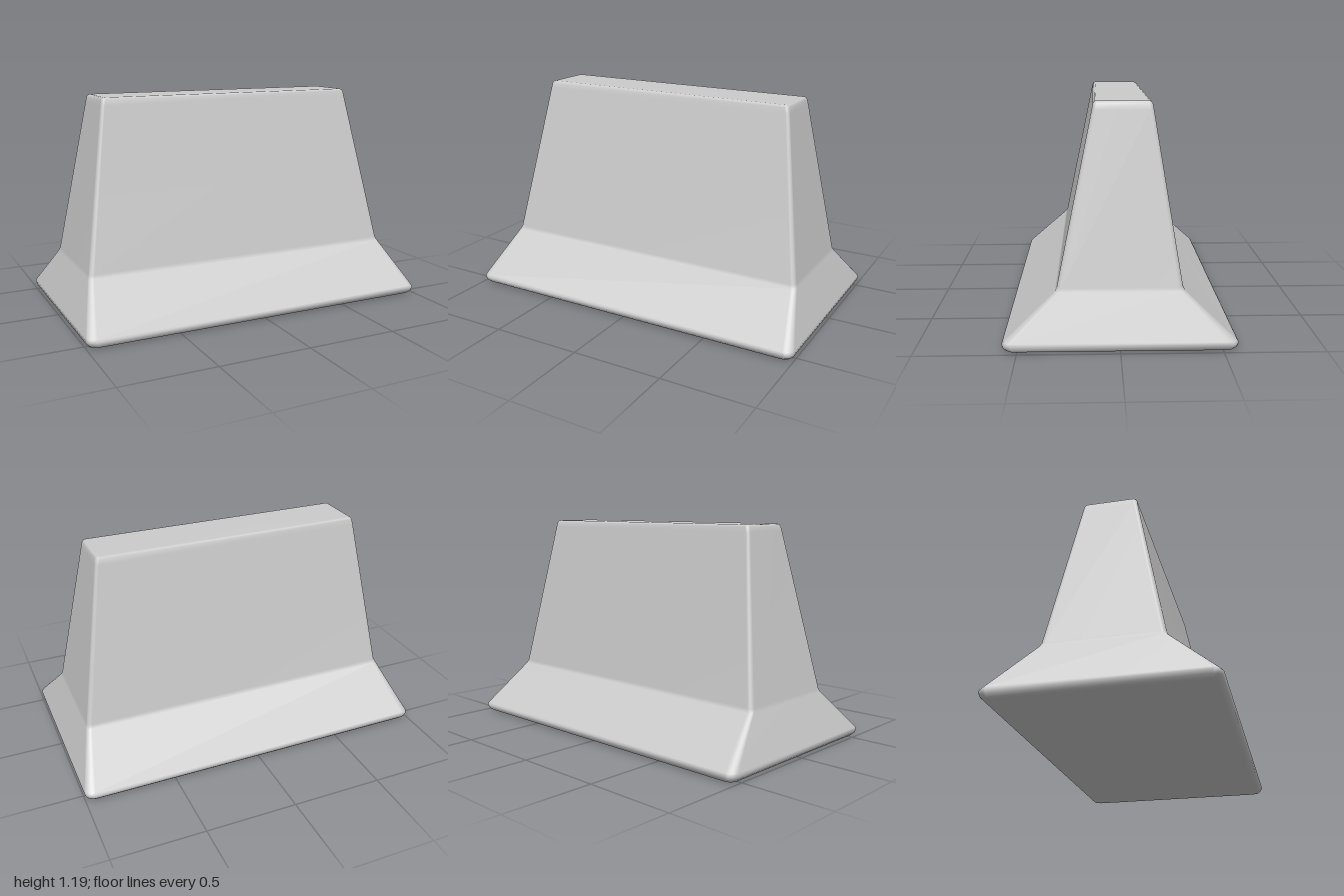
import * as THREE from 'three';

// Horizontal sections: [height, half width, half depth, z centre, corner radius]
const SECTIONS = [
  [0, 0.962, 0.537, 0, 0.03],
  [0.006, 0.98, 0.555, 0, 0.04],
  [0.02, 0.994, 0.569, 0, 0.045],
  [0.04, 1.0, 0.575, 0, 0.045],
  [0.052, 0.996, 0.566, 0, 0.045],
  [0.28, 0.91, 0.318, 0, 0.025],
  [0.3, 0.903, 0.308, 0, 0.025],
  [1.15, 0.76, 0.151, -0.018, 0.018],
  [1.178, 0.754, 0.146, -0.018, 0.018],
  [1.187, 0.747, 0.139, -0.018, 0.014],
  [1.19, 0.738, 0.13, -0.018, 0.01],
];
const CORNER_STEPS = 5;

// Rounded rectangle outline at one height
function ring([y, hx, hz, cz, r]) {
  const points = [];
  const corners = [[1, 1], [-1, 1], [-1, -1], [1, -1]];
  corners.forEach(([sx, sz], q) => {
    for (let i = 0; i <= CORNER_STEPS; i++) {
      const a = (q + i / CORNER_STEPS) * Math.PI / 2;
      points.push(
        sx * (hx - r) + Math.cos(a) * r,
        y,
        cz + sz * (hz - r) + Math.sin(a) * r
      );
    }
  });
  return points;
}

// Joins the sections into a closed, smooth-shaded solid
function loft(sections) {
  const n = 4 * (CORNER_STEPS + 1);
  const positions = sections.flatMap(ring);
  const index = [];
  for (let s = 0; s < sections.length - 1; s++) {
    for (let i = 0; i < n; i++) {
      const a = s * n + i, b = s * n + (i + 1) % n;
      index.push(a, a + n, b, b, a + n, b + n);
    }
  }
  // Flat underside and top
  const last = (sections.length - 1) * n;
  for (let i = 1; i < n - 1; i++) {
    index.push(0, i, i + 1);
    index.push(last, last + i + 1, last + i);
  }
  const geometry = new THREE.BufferGeometry();
  geometry.setAttribute('position', new THREE.Float32BufferAttribute(positions, 3));
  geometry.setIndex(index);
  geometry.computeVertexNormals();
  return geometry;
}

export function createModel() {
  const group = new THREE.Group();
  group.name = 'barrier';
  const body = new THREE.Mesh(
    loft(SECTIONS),
    new THREE.MeshStandardMaterial({ color: 0xcccccc })
  );
  body.name = 'barrierBody';
  group.add(body);
  return group;
}
